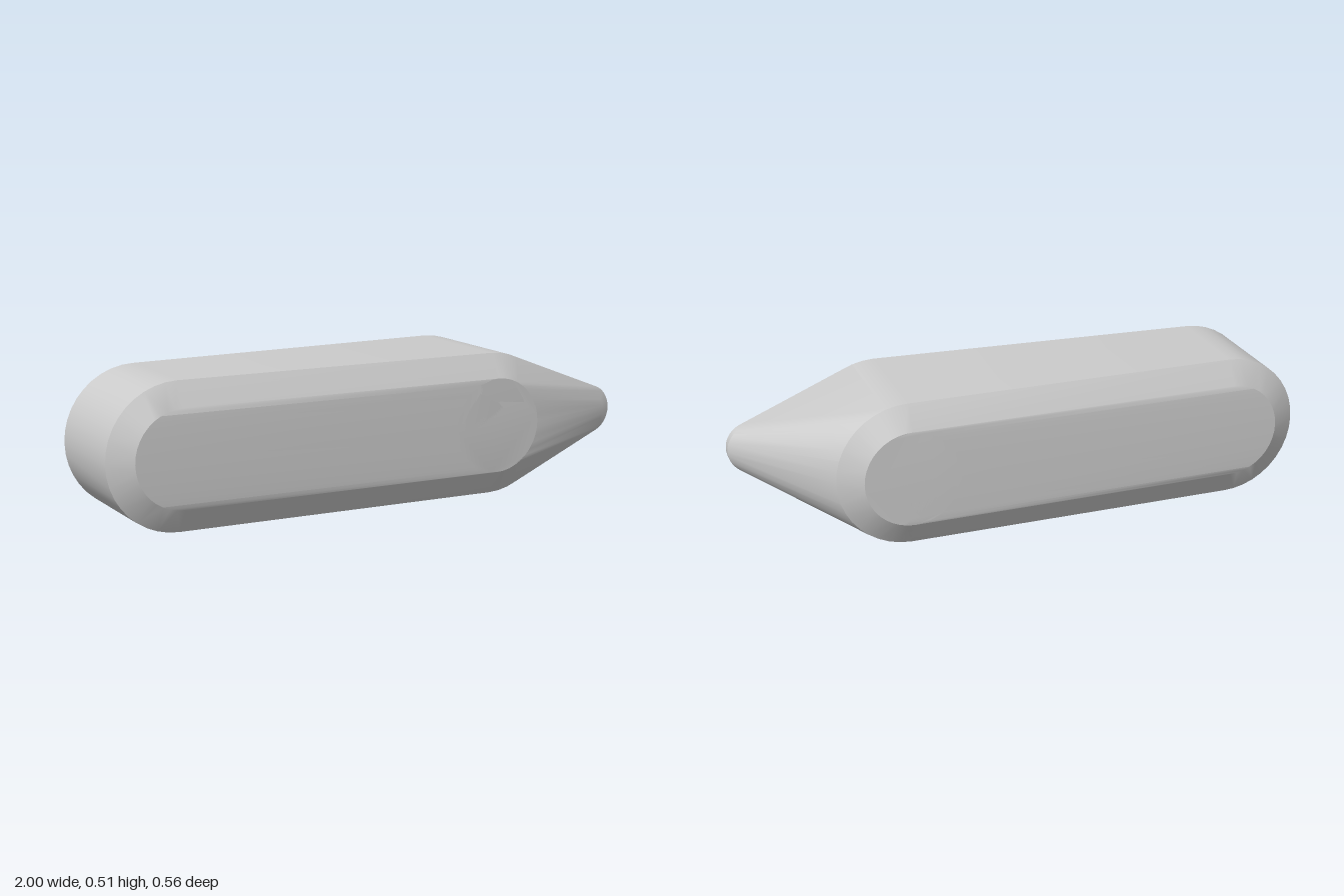
import * as THREE from 'three';
import { ConvexGeometry } from 'three/addons/geometries/ConvexGeometry.js';
import { toCreasedNormals } from 'three/addons/utils/BufferGeometryUtils.js';

const SEGMENTS = 40;
const MID_Y = 0.255;

// Points of a chamfered disc whose axis runs along z.
// rings: [radius, z] pairs
function discPoints(x, rings) {
  const points = [];
  for (const [r, z] of rings) {
    for (let i = 0; i < SEGMENTS; i++) {
      const a = (i / SEGMENTS) * Math.PI * 2;
      points.push(new THREE.Vector3(x + r * Math.cos(a), MID_Y + r * Math.sin(a), z));
    }
  }
  return points;
}

// Skin stretched tightly around two discs
function stretchedHull(name, discA, discB, material) {
  const geometry = toCreasedNormals(new ConvexGeometry([...discA, ...discB]), 0.42);
  const mesh = new THREE.Mesh(geometry, material);
  mesh.name = name;
  return mesh;
}

export function createModel() {
  const group = new THREE.Group();
  group.name = 'taperedCapsule';
  const material = new THREE.MeshStandardMaterial({ color: 0xcccccc });

  // Rounded end, widest section and off-centre tip
  const endDisc = discPoints(-0.745, [[0.17, -0.237], [0.255, -0.19], [0.255, 0.19], [0.17, 0.237]]);
  const wideDisc = discPoints(0.45, [[0.17, -0.278], [0.255, -0.228], [0.255, 0.228], [0.17, 0.278]]);
  const tipDisc = discPoints(0.91, [[0.06, 0.142], [0.09, 0.157], [0.09, 0.19], [0.06, 0.2]]);

  group.add(stretchedHull('body', endDisc, wideDisc, material));
  group.add(stretchedHull('tip', wideDisc, tipDisc, material));
  return group;
}
